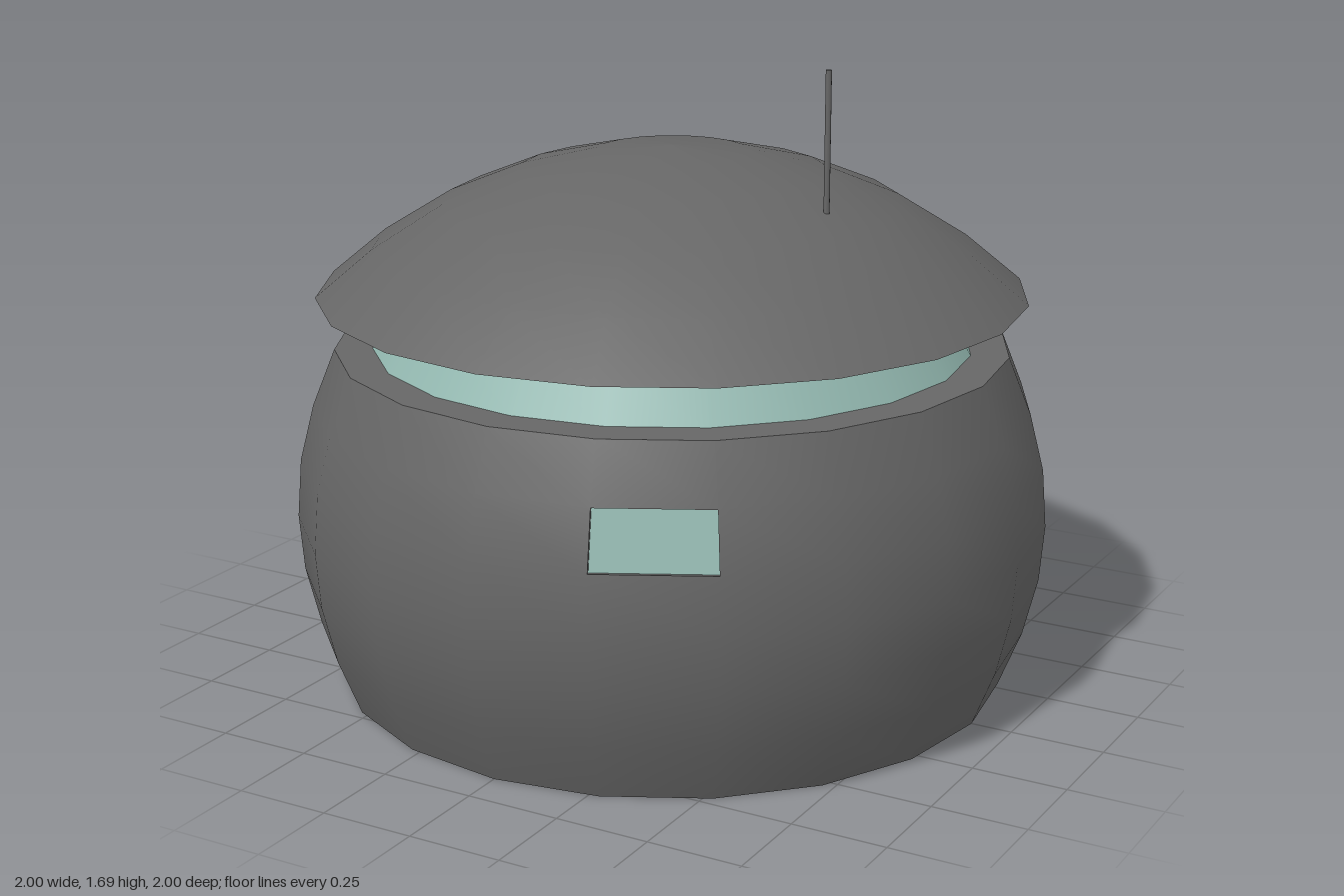
import * as THREE from 'three';

const SIDES = 20;
const dark = new THREE.MeshStandardMaterial({ color: 0x666666 });
const glass = new THREE.MeshStandardMaterial({ color: 0x93b8b0 });

// Turned surface; a profile running upward faces outward
function turned(profile) {
  return new THREE.LatheGeometry(profile.map(([r, y]) => new THREE.Vector2(r, y)), SIDES);
}

function add(parent, name, geometry, material) {
  const mesh = new THREE.Mesh(geometry, material);
  mesh.name = name;
  parent.add(mesh);
  return mesh;
}

// Flat quads from lists of four corners, counter-clockwise from the front
function quads(list) {
  const points = list.flatMap(([a, b, c, d]) => [a, b, c, a, c, d]);
  const geometry = new THREE.BufferGeometry().setFromPoints(points);
  geometry.computeVertexNormals();
  return geometry;
}

export function createModel() {
  const model = new THREE.Group();
  model.name = 'domedPod';

  // Barrel-shaped body with one panel cut out for the window
  const wall = [[0.89, 0], [0.95, 0.15], [0.988, 0.305], [1, 0.455], [0.988, 0.61], [0.95, 0.76], [0.89, 0.91]];
  const windowSide = 1, windowRow = 4;
  const body = new THREE.Group();
  body.name = 'body';
  model.add(body);
  const wallGeometry = turned(wall);
  const index = Array.from(wallGeometry.index.array);
  index.splice((windowSide * (wall.length - 1) + windowRow) * 6, 6);
  wallGeometry.setIndex(index);
  add(body, 'bodyWall', wallGeometry, dark);
  add(body, 'bodyFloor', turned([[0, 0], [0.89, 0]]), dark);
  add(body, 'bodyTop', turned([[0.89, 0.91], [0, 0.91]]), dark);

  // Recessed window: pane moved inward, with a reveal on each edge
  const corner = (side, row) => {
    const [r, y] = wall[row], phi = side * Math.PI * 2 / SIDES;
    return new THREE.Vector3(r * Math.sin(phi), y, r * Math.cos(phi));
  };
  const outer = [
    corner(windowSide, windowRow), corner(windowSide + 1, windowRow),
    corner(windowSide + 1, windowRow + 1), corner(windowSide, windowRow + 1),
  ];
  const inward = outer[1].clone().sub(outer[0])
    .cross(outer[3].clone().sub(outer[0])).setLength(-0.03);
  const inner = outer.map((p) => p.clone().add(inward));
  add(body, 'windowPane', quads([inner]), glass);
  add(body, 'windowReveal', quads(outer.map((p, i) => {
    const j = (i + 1) % 4;
    return [p, outer[j], inner[j], inner[i]];
  })), dark);

  // Glazed band between body and roof
  const band = new THREE.Group();
  band.name = 'glassBand';
  model.add(band);
  add(band, 'slopedGlass', turned([[0.79, 0.91], [0.72, 1.03]]), glass);
  add(band, 'glassLedge', turned([[0.72, 1.03], [0.69, 1.03]]), glass);
  add(band, 'upperGlass', turned([[0.69, 1.03], [0.67, 1.05]]), glass);

  // Overhanging shallow dome roof
  const roof = new THREE.Group();
  roof.name = 'roof';
  model.add(roof);
  add(roof, 'dome', turned([[0.935, 1.05], [0.785, 1.175], [0.6, 1.29], [0.405, 1.37], [0.2, 1.42], [0, 1.435]]), dark);
  add(roof, 'roofUnderside', turned([[0, 1.05], [0.935, 1.05]]), dark);

  // Thin aerial rising from the roof
  const aerial = add(model, 'aerial', new THREE.CylinderGeometry(0.008, 0.008, 0.36, 8), dark);
  aerial.position.set(0.495, 1.505, 0.095);

  return model;
}
